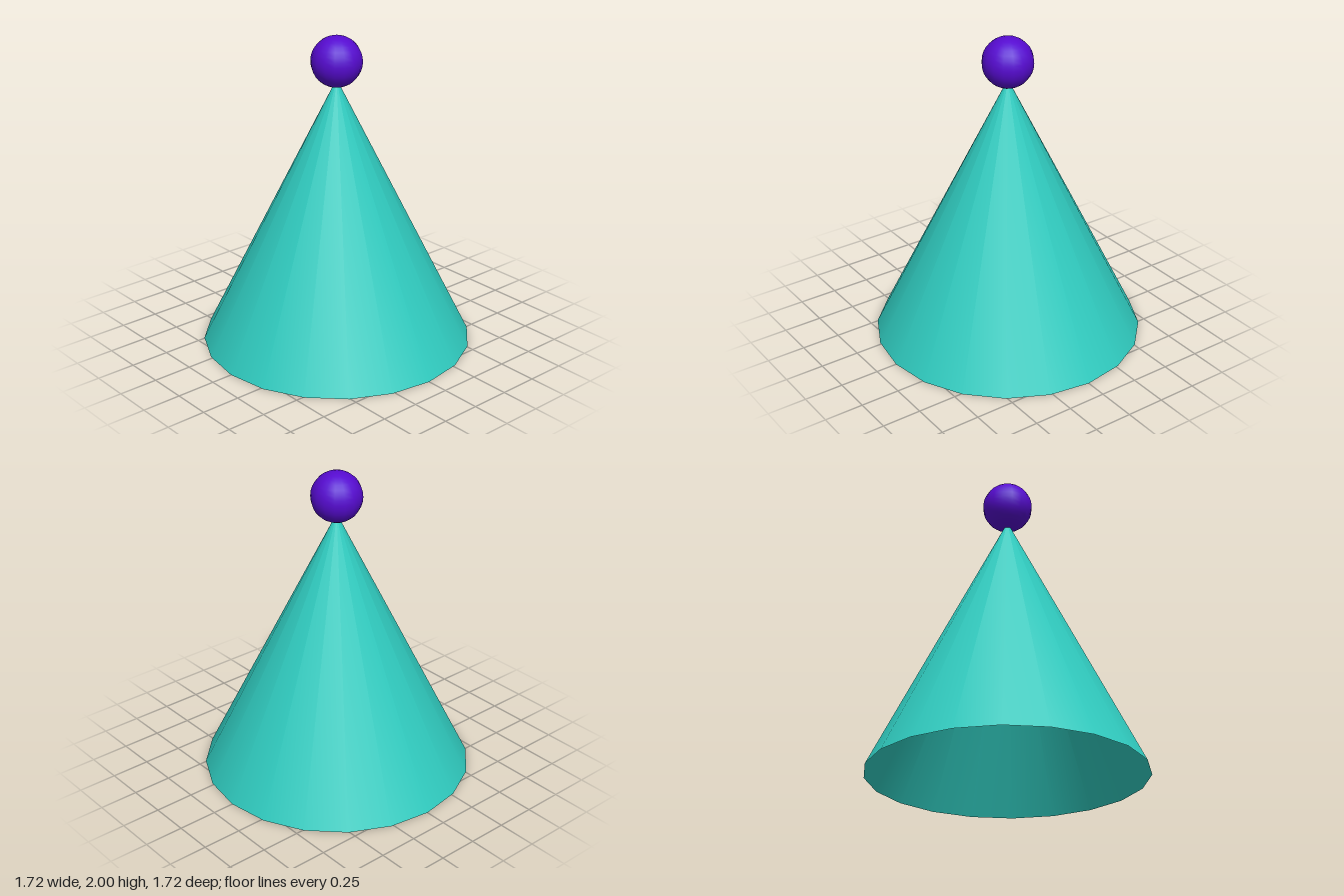
import * as THREE from 'three';

const CONE_RADIUS = 0.862;
const CONE_HEIGHT = 1.73;
const BALL_RADIUS = 0.16;

function addPart(group, name, geometry, color, y, side = THREE.FrontSide) {
  const material = new THREE.MeshStandardMaterial({ color, side });
  const mesh = new THREE.Mesh(geometry, material);
  mesh.name = name;
  mesh.position.y = y;
  group.add(mesh);
}

export function createModel() {
  const model = new THREE.Group();
  model.name = 'partyHat';

  // Hollow cone, open at the bottom
  const cone = new THREE.ConeGeometry(CONE_RADIUS, CONE_HEIGHT, 20, 1, true);
  addPart(model, 'hatCone', cone, 0x30ccc0, CONE_HEIGHT / 2, THREE.DoubleSide);

  // Ball resting on the tip
  const ball = new THREE.SphereGeometry(BALL_RADIUS, 16, 16);
  addPart(model, 'topBall', ball, 0x560bd0, 2 - BALL_RADIUS);

  return model;
}
